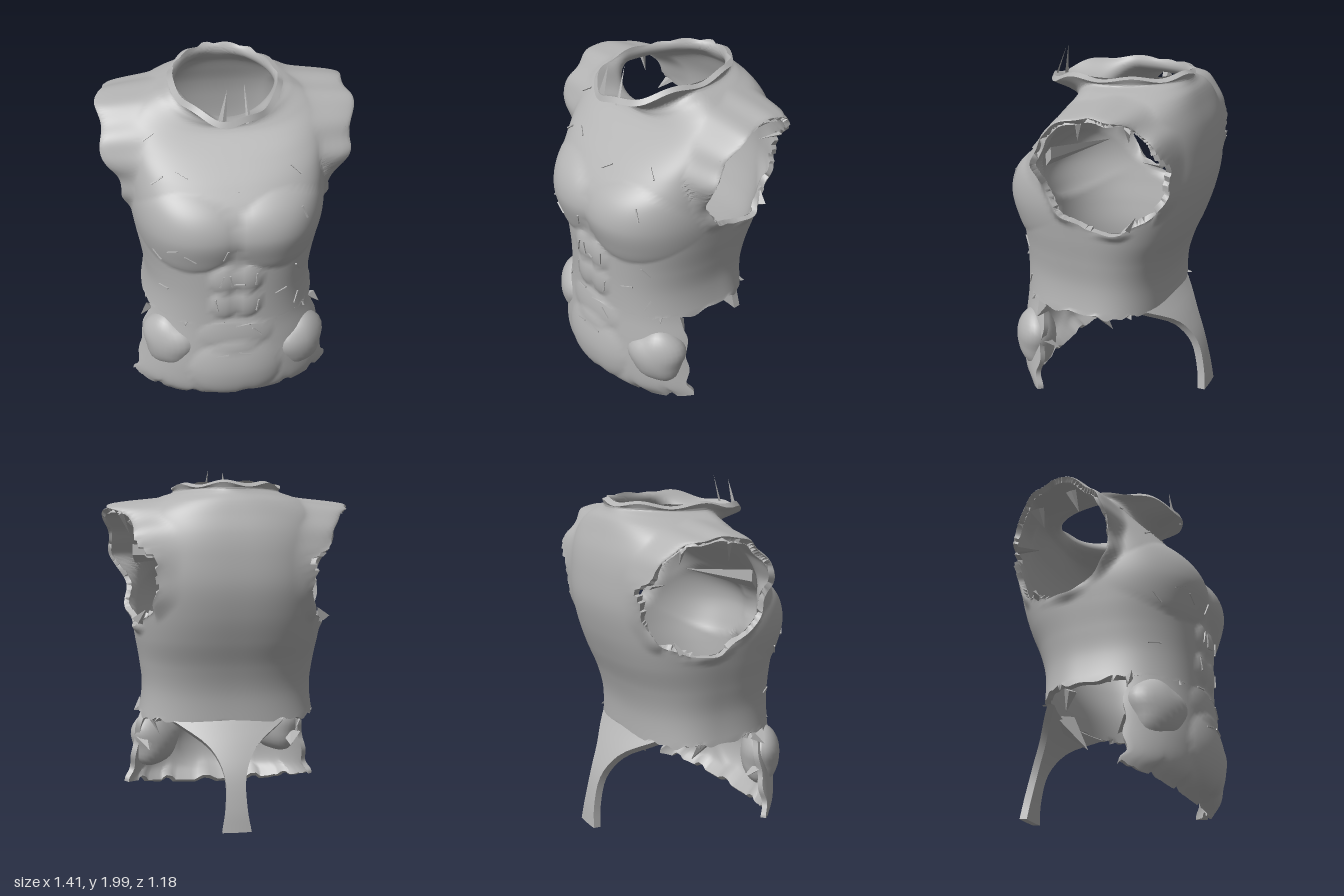
import * as THREE from 'three';
import { toCreasedNormals } from 'three/addons/utils/BufferGeometryUtils.js';

const stone = new THREE.MeshStandardMaterial({ color: 0xb2b2b2, side: THREE.DoubleSide });
stone.name = 'grey';

// Cross-sections from hem to collar: side y, front y, back y, half width, front z, back z, squareness
const sections = [
  [0.12, 0.01, 0.12, 0.67, 0.45, -0.35, 2.5],
  [0.19, 0.10, 0.19, 0.62, 0.53, -0.35, 2.5],
  [0.30, 0.25, 0.30, 0.585, 0.55, -0.35, 2.5],
  [0.45, 0.43, 0.45, 0.555, 0.54, -0.35, 2.5],
  [0.59, 0.59, 0.58, 0.51, 0.53, -0.35, 2.5],
  [0.75, 0.75, 0.75, 0.49, 0.53, -0.36, 2.5],
  [0.90, 0.90, 0.90, 0.505, 0.535, -0.40, 2.5],
  [1.05, 1.05, 1.05, 0.53, 0.54, -0.46, 2.6],
  [1.20, 1.20, 1.20, 0.55, 0.558, -0.51, 2.6],
  [1.35, 1.33, 1.36, 0.55, 0.525, -0.54, 2.7],
  [1.50, 1.45, 1.52, 0.55, 0.435, -0.535, 2.8],
  [1.62, 1.55, 1.64, 0.555, 0.335, -0.515, 2.8],
  [1.72, 1.62, 1.74, 0.54, 0.26, -0.48, 2.7],
  [1.785, 1.67, 1.81, 0.47, 0.215, -0.45, 2.5],
  [1.83, 1.70, 1.85, 0.375, 0.205, -0.42, 2.2],
  [1.855, 1.735, 1.875, 0.305, 0.24, -0.41, 2],
  [1.885, 1.80, 1.895, 0.31, 0.41, -0.42, 2],
];
const WAIST = 4, COLLAR = sections.length - 1;
const profile = new THREE.CubicInterpolant(sections.map((_, i) => i), sections.flat(), 7, new Float32Array(7));

const dome = (x, y, cx, cy, rx, ry) =>
  Math.max(0, 1 - ((x - cx) / rx) ** 2 - ((y - cy) / ry) ** 2) ** 0.75;

// Muscle relief on the front
function relief(x, y) {
  const ax = Math.abs(x);
  let d = 0.045 * dome(ax, y, 0.265, 1.2, 0.28, 0.23);
  for (const cy of [0.92, 0.75]) d += 0.024 * dome(ax, y, 0.065, cy, 0.085, 0.1);
  d += 0.018 * dome(ax, y, 0, 0.53, 0.22, 0.11);
  d += 0.04 * dome(ax, y, 0, 0.27, 0.27, 0.22);
  return d;
}

// Point on the torso at section k and angle a (0 is the front, growing towards +x)
function torsoPoint(k, a) {
  const [ys, yf, yb, w, f, b, n] = profile.evaluate(k);
  const s = Math.sin(a), c = Math.cos(a), e = 2 / n;
  const x = w * Math.sign(s) * Math.abs(s) ** e;
  const y = ys + ((c > 0 ? yf : yb) - ys) * c * c;
  let z = (c > 0 ? f : b) * Math.abs(c) ** e;
  if (c > 0.1) z += relief(x, y);
  return new THREE.Vector3(x, y, z);
}

// Turns a grid of points into a wall with thickness; cells whose corners are all dropped stay open
function shell(rows, wrap, thickness, dropped = new Set()) {
  const nu = rows[0].length, pts = rows.flat(), faces = [];
  for (let j = 0; j < rows.length - 1; j++) {
    for (let i = 0; i < (wrap ? nu : nu - 1); i++) {
      const i2 = (i + 1) % nu;
      const a = j * nu + i, b = j * nu + i2, c = b + nu, d = a + nu;
      for (const t of [[a, b, c], [a, c, d]]) if (!t.every(v => dropped.has(v))) faces.push(t);
    }
  }
  const outer = new THREE.BufferGeometry().setFromPoints(pts);
  outer.setIndex(faces.flat());
  outer.computeVertexNormals();
  const normal = outer.attributes.normal, N = pts.length;
  const inner = pts.map((p, i) => p.clone().addScaledVector(new THREE.Vector3().fromBufferAttribute(normal, i), -thickness));
  const edges = new Set(), index = [];
  for (const [a, b, c] of faces) {
    index.push(a, b, c, a + N, c + N, b + N);
    for (const [p, q] of [[a, b], [b, c], [c, a]]) edges.add(p * N + q);
  }
  // Rim along open edges
  for (const e of edges) {
    const p = Math.floor(e / N), q = e % N;
    if (!edges.has(q * N + p)) index.push(q, p, p + N, q, p + N, q + N);
  }
  const geo = new THREE.BufferGeometry().setFromPoints([...pts, ...inner]);
  geo.setIndex(index);
  return toCreasedNormals(geo, 0.7);
}

const grid = (nu, nv, fn) => Array.from({ length: nv + 1 }, (_, j) =>
  Array.from({ length: nu }, (_, i) => fn(i, j / nv)));

// Upper body with arm openings pulled out into short sleeves
function bodyGeometry() {
  const nu = 160, cy = 1.45, cz = -0.13, rz = 0.345, ry = 0.333, dropped = new Set();
  const { smoothstep, lerp } = THREE.MathUtils;
  const rows = grid(nu, 120, (i, v) => {
    const a = (i / nu) * Math.PI * 2;
    const p = torsoPoint(WAIST + v * (COLLAR - WAIST), a);
    if (v === 0) p.y += 0.01 * Math.sin(a * 9) + 0.008 * Math.sin(a * 23);
    p.y += 0.012 * Math.sin(a * 7) * smoothstep(v, 0.93, 1);
    return p;
  });
  rows.flat().forEach((p, i) => {
    const side = Math.sign(p.x), ax = Math.abs(p.x);
    if (ax < 0.3) return;
    const a = Math.atan2((p.y - cy) / ry, (p.z - cz) / rz), s = Math.sin(a), c = Math.cos(a);
    const edge = 1 + 0.015 * Math.sin(a * 7 + side) + 0.012 * Math.sin(a * 13);
    const d = Math.hypot((p.y - cy) / ry, (p.z - cz) / rz) / edge;
    if (d < 1) {
      dropped.add(i);
      p.z = cz + c * edge * rz;
      p.y = cy + s * edge * ry;
    }
    const pull = (1 - smoothstep(d, 1, 1.15)) * smoothstep(ax, 0.3, 0.42);
    const rim = 0.54 + 0.07 * smoothstep(s, -0.5, 0.3) + 0.07 * Math.max(0, s) + 0.04 * c
      - 0.07 * smoothstep(-c, 0.25, 0.6) + 0.015 * Math.sin(a * 7 + side);
    p.x = side * lerp(ax, Math.max(rim, ax), pull);
  });
  return shell(rows, true, 0.033, dropped);
}

export function createModel() {
  const model = new THREE.Group();
  const add = (name, geo, parent = model) => {
    const mesh = new THREE.Mesh(geo, stone);
    mesh.name = name;
    parent.add(mesh);
    return mesh;
  };
  const group = name => {
    const g = new THREE.Group();
    g.name = name;
    model.add(g);
    return g;
  };

  const body = add('upperBody', bodyGeometry());

  // Front flap below the waist, with a ragged hem
  const nf = 61;
  const belly = add('bellyFlap', shell(grid(nf, 30, (i, v) => {
    const u = (i / (nf - 1)) * 2 - 1;
    const ragged = 0.018 * Math.sin(u * 19) + 0.012 * Math.sin(u * 37);
    const reach = 1.03 + 0.12 * Math.min(1, v * 2) + 0.02 * Math.sin(v * 19);
    const p = torsoPoint(v * (WAIST + 0.1), u * reach);
    p.y += Math.max(0, ragged) * (1 - v) ** 3;
    return p;
  }), false, 0.033));

  // Strip hanging from the back of the waist, fanning out at its top; x is the half width
  const path = new THREE.CatmullRomCurve3([
    [0.08, 0.03, -0.585], [0.06, 0.15, -0.57], [0.06, 0.33, -0.525], [0.13, 0.47, -0.45], [0.33, 0.6, -0.35],
  ].map(p => new THREE.Vector3(...p)));
  add('backStrip', shell(grid(9, 16, (i, v) => {
    const p = path.getPoint(v), x = p.x * (1 - i / 4);
    return new THREE.Vector3(x + 0.015, p.y, p.z + 0.6 * x * x);
  }), false, 0.045));

  // Hip lumps
  for (const [name, x, y, s] of [['rightHipLump', -0.37, 0.41, 1], ['leftHipLump', 0.395, 0.34, -1]]) {
    const geo = new THREE.SphereGeometry(1, 28, 18), pos = geo.attributes.position;
    for (let i = 0; i < pos.count; i++) {
      const a = Math.atan2(pos.getY(i), pos.getX(i)), k = 1 + 0.06 * Math.sin(a * 3 + s) + 0.04 * Math.sin(a * 5);
      pos.setXY(i, pos.getX(i) * k, pos.getY(i) * k);
    }
    geo.computeVertexNormals();
    const lump = add(name, geo);
    lump.position.set(x, y, 0.375);
    lump.scale.set(0.17, 0.175, 0.115);
    lump.rotation.y = s * -0.6;
  }

  // Pointed shards on the broken edges: base, tip, radius
  const shards = group('shards');
  const shard = (from, to, radius) => {
    const a = new THREE.Vector3(...from), b = new THREE.Vector3(...to), dir = b.clone().sub(a);
    const mesh = add('shard', toCreasedNormals(new THREE.ConeGeometry(radius, dir.length(), 4), 0.3), shards);
    mesh.position.copy(a).add(b).multiplyScalar(0.5);
    mesh.quaternion.setFromUnitVectors(new THREE.Vector3(0, 1, 0), dir.normalize());
    mesh.scale.z = 0.4;
  };
  for (const s of [-1, 1]) {
    shard([s * 0.52, 1.5, 0.19], [s * 0.09, 1.5, 0.03], 0.06);
    shard([s * 0.54, 1.72, -0.28], [s * 0.48, 1.62, -0.26], 0.05);
    shard([s * 0.47, 1.52, -0.44], [s * 0.43, 1.51, -0.31], 0.03);
    shard([s * 0.52, 1.15, -0.27], [s * 0.48, 1.22, -0.3], 0.04);
    shard([s * 0.6, 1.74, -0.03], [s * 0.55, 1.62, 0.0], 0.03);
    shard([s * 0.47, 0.58, 0.27], [s * 0.53, 0.53, 0.29], 0.05);
    shard([s * 0.46, 0.36, 0.28], [s * 0.44, 0.3, 0.19], 0.06);
    shard([s * 0.45, 0.58, -0.08], [s * 0.4, 0.48, -0.13], 0.04);
  }
  shard([0, 0.58, -0.33], [0, 0.4, -0.19], 0.15);
  shard([-0.06, 1.8, 0.38], [-0.03, 1.98, 0.35], 0.025);
  shard([0.08, 1.8, 0.38], [0.06, 2.0, 0.31], 0.015);

  // Small nicks on the front: x, y, tilt
  model.updateMatrixWorld(true);
  const nicks = group('nicks'), ray = new THREE.Raycaster();
  for (const [x, y, tilt] of [
    [-0.43, 1.66, 0.6], [-0.4, 1.48, 0.6], [-0.27, 1.51, -0.6], [0.05, 1.45, 0.7], [0.34, 1.5, -0.8],
    [0.37, 1.31, -1.2], [-0.06, 1.11, 1.3], [-0.34, 1.13, 0.5], [-0.25, 1.09, -0.6], [-0.42, 1.05, -0.7],
    [-0.08, 0.93, 1.3], [-0.03, 0.93, -1.4], [0.11, 0.93, 1.5], [0.01, 0.9, 0.1], [-0.11, 0.76, -1.4],
    [0.12, 0.74, 1.4], [0.36, 0.91, -0.9], [0.26, 0.79, 0.2], [-0.39, 0.8, 0.1], [0.36, 0.68, 1.1],
    [-0.1, 0.62, 0.1], [0.12, 0.55, -0.8], [-0.08, 0.4, 0.2], [0.05, 0.41, -0.2],
  ]) {
    ray.set(new THREE.Vector3(x, y, 2), new THREE.Vector3(0, 0, -1));
    const hit = ray.intersectObjects([body, belly])[0];
    if (!hit) continue;
    const nick = add('nick', new THREE.BoxGeometry(0.075, 0.008, 0.009), nicks);
    nick.position.copy(hit.point).addScaledVector(hit.face.normal, 0.002);
    nick.quaternion.setFromUnitVectors(new THREE.Vector3(0, 0, 1), hit.face.normal);
    nick.rotateZ(tilt);
  }
  return model;
}
